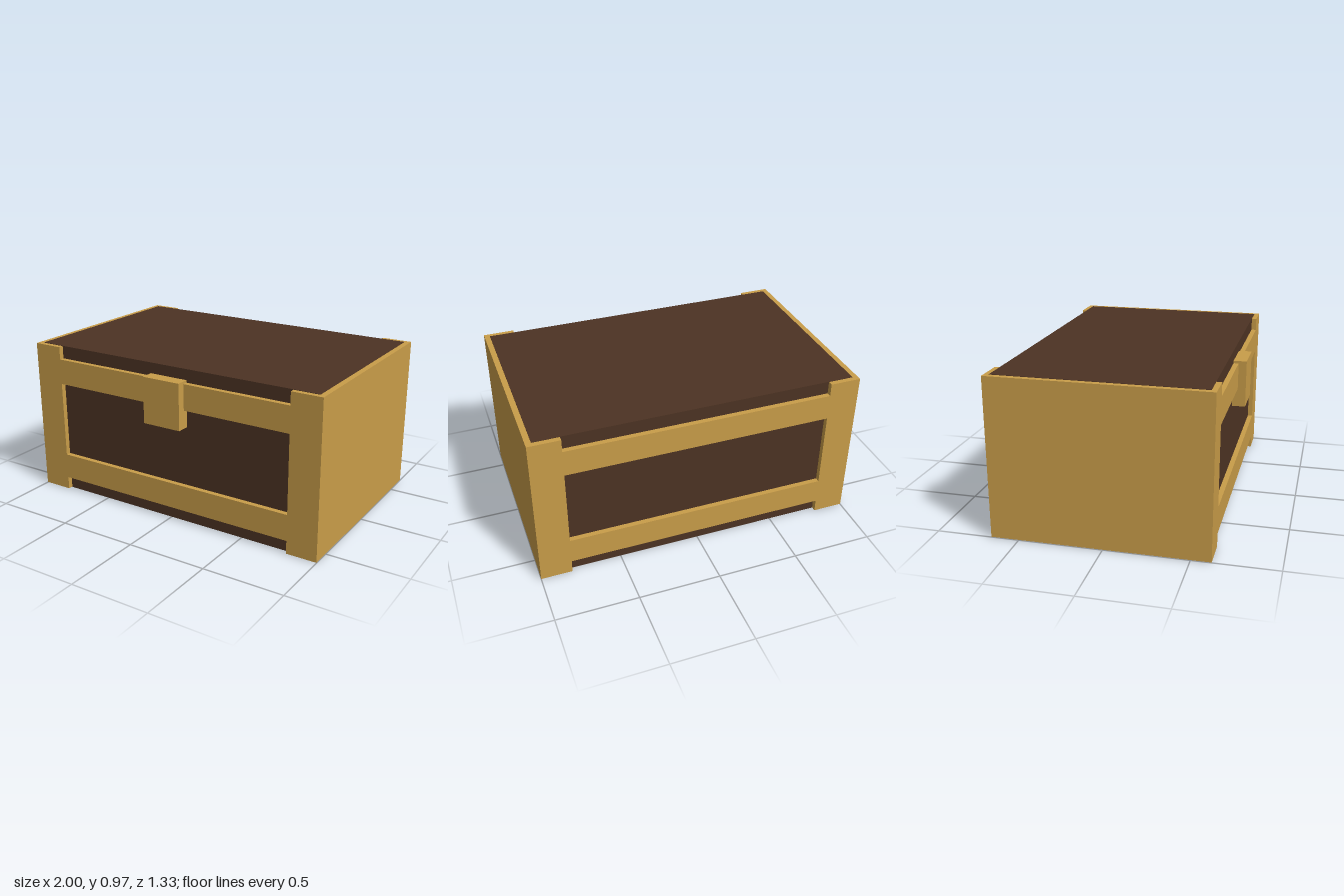
import * as THREE from 'three';

export function createModel() {
  const chest = new THREE.Group();
  chest.name = 'chest';

  const wood = new THREE.MeshStandardMaterial({ color: 0x4d3323 });
  wood.name = 'dark wood';
  const brass = new THREE.MeshStandardMaterial({ color: 0xc99d49 });
  brass.name = 'brass';

  // Box given by its low and high corners
  function box(name, material, [x0, y0, z0], [x1, y1, z1]) {
    const geometry = new THREE.BoxGeometry(x1 - x0, y1 - y0, z1 - z0);
    const mesh = new THREE.Mesh(geometry, material);
    mesh.position.set((x0 + x1) / 2, (y0 + y1) / 2, (z0 + z1) / 2);
    mesh.name = name;
    chest.add(mesh);
  }

  const back = -0.667, front = 0.618;

  // Wooden body, a hair taller than the end caps so its top and base stay clean
  box('body', wood, [-0.966, 0, -0.636], [0.966, 0.97, 0.587]);

  // Brass end caps wrapping the left and right sides
  box('rightEndCap', brass, [-1, 0.002, back], [-0.81, 0.968, front]);
  box('leftEndCap', brass, [0.81, 0.002, back], [1, 0.968, front]);

  // Horizontal bands, showing on the front and back
  for (const [name, y0, y1] of [['lowerBand', 0.083, 0.245], ['upperBand', 0.728, 0.889]]) {
    box(name, brass, [-0.81, y0, back], [0.81, y1, front]);
  }

  // Latch on the front
  box('latch', brass, [-0.127, 0.617, 0.58], [0.125, 0.904, 0.667]);

  return chest;
}
